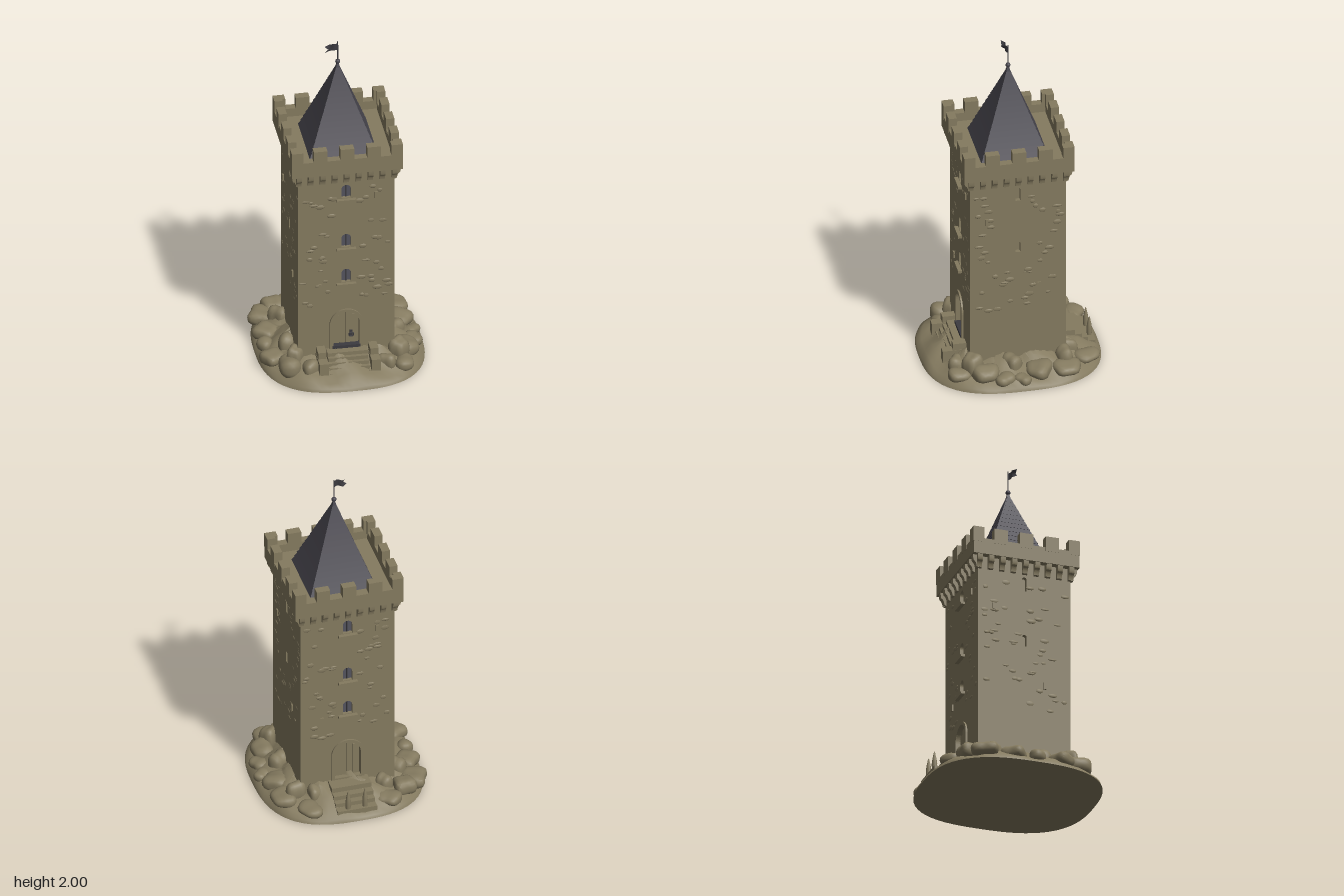
import * as THREE from 'three';
import { toCreasedNormals } from 'three/addons/utils/BufferGeometryUtils.js';

let seed = 7;
const rnd = (a = 0, b = 1) => {
  seed = (seed * 16807) % 2147483647;
  return a + (b - a) * seed / 2147483647;
};
const mat = (name, color, side = THREE.FrontSide) => {
  const m = new THREE.MeshStandardMaterial({ color, side });
  m.name = name;
  return m;
};

export function createModel() {
  seed = 7;
  const stone = mat('stone', 0x857b60);
  const slate = mat('slate', 0x48464e);
  const glass = mat('windowDark', 0x53535e);
  const iron = mat('iron', 0x3c3b40, THREE.DoubleSide);

  const model = new THREE.Group();
  model.name = 'stoneTower';
  const add = (parent, name, geo, material, x = 0, y = 0, z = 0) => {
    const m = new THREE.Mesh(geo, material);
    m.name = name;
    m.position.set(x, y, z);
    parent.add(m);
    return m;
  };
  const box = (parent, name, w, h, d, x, y, z, material = stone) =>
    add(parent, name, new THREE.BoxGeometry(w, h, d), material, x, y, z);
  const rect = (T, x0, y0, x1, y1) => {
    const s = new T();
    s.moveTo(x0, y0); s.lineTo(x1, y0); s.lineTo(x1, y1); s.lineTo(x0, y1); s.closePath();
    return s;
  };
  const arch = (T, x, y, w, h) => {
    const r = w / 2, s = new T();
    s.moveTo(x - r, y); s.lineTo(x + r, y); s.lineTo(x + r, y + h - r);
    s.absarc(x, y + h - r, r, 0, Math.PI, false);
    s.closePath();
    return s;
  };
  const extrude = (shape, depth) =>
    new THREE.ExtrudeGeometry(shape, { depth, bevelEnabled: false, curveSegments: 10 });

  // Rocky mound: a lathe squared off and roughened
  const radius = (a) => Math.pow(
    Math.pow(Math.abs(Math.cos(a)) / 0.475, 2.7) + Math.pow(Math.abs(Math.sin(a)) / 0.51, 2.7), -1 / 2.7);
  const profile = [[0, 0], [1, 0], [0.985, 0.018], [0.93, 0.04], [0.85, 0.06], [0.75, 0.085], [0.65, 0.115], [0.5, 0.14], [0, 0.14]]
    .map(([x, y]) => new THREE.Vector2(x, y));
  const ground = new THREE.LatheGeometry(profile, 72);
  const gp = ground.attributes.position;
  for (let i = 0; i < gp.count; i++) {
    const x = gp.getX(i), y = gp.getY(i), z = gp.getZ(i);
    const a = Math.atan2(z, x), t = Math.hypot(x, z), r = t * radius(a);
    const bump = 1 + 0.16 * Math.sin(a * 9 + t * 8) + 0.12 * Math.sin(a * 16 - t * 21);
    gp.setXYZ(i, Math.cos(a) * r, y * bump, Math.sin(a) * r);
  }
  add(model, 'mound', toCreasedNormals(ground, 0.9), stone);

  // Boulders: x, z, radius, top height
  const rocks = [
    [0.37, -0.1, 0.085, 0.12], [0.41, 0.1, 0.06, 0.09], [0.36, 0.2, 0.08, 0.13], [0.42, 0, 0.05, 0.08],
    [0.37, -0.26, 0.085, 0.11], [0.25, -0.4, 0.08, 0.09], [0.3, 0.27, 0.06, 0.19], [0.31, 0.04, 0.06, 0.16],
    [0.3, -0.26, 0.06, 0.17], [0.32, 0.34, 0.07, 0.1], [-0.39, -0.1, 0.075, 0.11], [-0.42, 0.03, 0.055, 0.1],
    [-0.4, 0.18, 0.07, 0.11], [-0.33, 0.3, 0.08, 0.14], [-0.38, -0.27, 0.085, 0.11], [-0.2, -0.41, 0.075, 0.09],
    [-0.29, 0.27, 0.05, 0.2], [-0.31, 0.1, 0.06, 0.16], [-0.3, -0.2, 0.06, 0.17], [-0.31, -0.34, 0.07, 0.13],
    [0.22, 0.34, 0.055, 0.13], [-0.22, 0.35, 0.055, 0.13], [0.2, -0.31, 0.05, 0.15], [-0.2, -0.31, 0.05, 0.15]];
  for (const [x, z, r, top] of rocks) {
    const geo = new THREE.IcosahedronGeometry(1, 3);
    const p = geo.attributes.position, v = new THREE.Vector3(), k = rnd(0, 6);
    for (let i = 0; i < p.count; i++) {
      v.fromBufferAttribute(p, i);
      const f = 1 + 0.1 * Math.sin(3 * v.x + k) + 0.1 * Math.sin(4 * v.z + 2 * k);
      // Flatten towards a squarish block
      const q = f / Math.pow(v.x ** 4 + v.y ** 4 + v.z ** 4, 0.16);
      p.setXYZ(i, v.x * q, v.y * q, v.z * q);
    }
    const h = (top - 0.02) / 2.1;
    const m = add(model, 'boulder', toCreasedNormals(geo, 0.8), stone, x, 0.02 + h, z);
    m.scale.set(r * 0.85, h * 0.92, r * 0.85);
    m.rotation.y = rnd(0, 3);
  }

  // Tower core behind the pierced walls
  box(model, 'core', 0.5, 1.27, 0.5, 0, 0.685, 0);

  const windowHeights = [0.58, 0.81, 1.135];
  for (let s = 0; s < 4; s++) {
    const side = new THREE.Group();
    side.name = ['frontSide', 'leftSide', 'backSide', 'rightSide'][s];
    side.rotation.y = s * Math.PI / 2;
    model.add(side);
    const main = s % 2 === 0;
    const half = main ? 0.275 : 0.25;

    // Wall with openings
    const shape = rect(THREE.Shape, -half, 0.05, half, 1.34);
    if (main) {
      shape.holes.push(arch(THREE.Path, 0, 0.15, 0.15, 0.235));
      for (const y of windowHeights) shape.holes.push(arch(THREE.Path, 0, y, 0.055, 0.085));
    } else {
      shape.holes.push(arch(THREE.Path, 0, 0.8, 0.028, 0.07), arch(THREE.Path, 0, 1.14, 0.028, 0.085));
    }
    add(side, 'wall', extrude(shape, 0.03), stone, 0, 0, 0.245);

    if (main) {
      // Door with arched surround and planks
      const ring = arch(THREE.Shape, 0, 0.14, 0.19, 0.262);
      ring.holes.push(arch(THREE.Path, 0, 0.15, 0.15, 0.235));
      add(side, 'doorSurround', extrude(ring, 0.015), stone, 0, 0, 0.27);
      for (let i = 0; i < 4; i++) {
        const h = i % 3 ? 0.225 : 0.2;
        box(side, 'doorPlank', 0.034, h, 0.012, -0.054 + i * 0.036, 0.15 + h / 2, 0.252);
      }
      if (s === 0) {
        box(side, 'threshold', 0.16, 0.018, 0.04, 0, 0.16, 0.27, iron);
        box(side, 'doorLock', 0.014, 0.04, 0.008, 0.03, 0.23, 0.262, iron);
        add(side, 'doorRing', new THREE.TorusGeometry(0.013, 0.004, 6, 14), iron, 0.03, 0.225, 0.268);
      }
      // Windows with sills
      for (const y of windowHeights) {
        add(side, 'windowPane', extrude(arch(THREE.Shape, 0, y, 0.055, 0.085), 0.006), glass, 0, 0, 0.25);
        box(side, 'windowBar', 0.006, 0.08, 0.006, 0, y + 0.04, 0.258, iron);
        box(side, 'windowSill', 0.11, 0.016, 0.035, 0, y - 0.012, 0.28);
      }
    }

    // Low lumps of weathered masonry
    for (let i = 0; i < 44; i++) {
      const x = main ? rnd(0.07, 0.25) * (i % 2 ? 1 : -1) : rnd(0.03, 0.25) * (i % 2 ? 1 : -1);
      const y = rnd(0.42, 1.2);
      add(side, 'masonryLump', new THREE.SphereGeometry(1, 10, 6), stone, x, y, 0.274)
        .scale.set(rnd(0.015, 0.03), rnd(0.007, 0.015), rnd(0.003, 0.006));
    }
    // Small projecting stones
    for (const [x, y] of [[0.17, 1.14], [-0.15, 0.56], [0.12, 0.57], [-0.18, 1.02]])
      if (main === (y === 1.14 || y === 0.56)) box(side, 'projectingStone', 0.018, 0.04, 0.014, x, y, 0.277);

    // Corbels under the parapet
    const c = new THREE.Shape();
    c.moveTo(0, 1.33); c.lineTo(0, 1.24); c.lineTo(0.014, 1.245);
    c.quadraticCurveTo(0.018, 1.275, 0.03, 1.28);
    c.quadraticCurveTo(0.037, 1.285, 0.037, 1.33);
    c.closePath();
    const corbel = extrude(c, 0.03);
    for (let i = -4; i <= 4; i++)
      add(side, 'corbel', corbel, stone, i * 0.068 + 0.015, 0, 0.273).rotation.y = -Math.PI / 2;

    // Battlement merlons
    for (const x of [-0.152, 0, 0.152]) box(side, 'merlon', 0.078, 0.09, 0.047, x, 1.435, 0.2925);
    box(side, 'cornerMerlon', 0.065, 0.09, 0.047, 0.2835, 1.435, 0.2925);
    box(side, 'cornerMerlon', 0.065, 0.09, 0.047, -0.2835, 1.435, 0.2925);
  }

  // Parapet ring and deck
  const parapet = rect(THREE.Shape, -0.315, -0.315, 0.315, 0.315);
  parapet.holes.push(rect(THREE.Path, -0.27, -0.27, 0.27, 0.27));
  add(model, 'parapet', extrude(parapet, 0.095), stone, 0, 1.317, 0).rotation.x = -Math.PI / 2;
  model.children.at(-1).position.y = 1.317;
  box(model, 'deck', 0.56, 0.04, 0.56, 0, 1.34, 0);

  // Slate roof in overlapping courses
  const courses = 16, base = 1.36, apex = 1.865, rise = (apex - base) / courses;
  for (let i = 0; i < courses; i++) {
    const bottom = 0.193 * (1 - i / courses), top = Math.max(0.188 * (1 - (i + 1) / courses), 0.004);
    const geo = new THREE.CylinderGeometry(top * Math.SQRT2, bottom * Math.SQRT2, rise, 4).toNonIndexed();
    geo.rotateY(Math.PI / 4);
    geo.computeVertexNormals();
    add(model, 'roofCourse', geo, slate, 0, base + (i + 0.5) * rise, 0);
  }

  // Finial, pole and swallow-tailed flag
  add(model, 'finial', new THREE.SphereGeometry(0.014, 14, 10), slate, 0, 1.87, 0);
  add(model, 'flagPole', new THREE.CylinderGeometry(0.003, 0.004, 0.13, 8), iron, 0, 1.935, 0);
  const flag = new THREE.PlaneGeometry(0.08, 0.042, 10, 4);
  const fp = flag.attributes.position;
  for (let i = 0; i < fp.count; i++) {
    const t = 0.5 - fp.getX(i) / 0.08, y = fp.getY(i);
    const notch = t * t * 0.022 * (1 - Math.abs(y) / 0.021);
    fp.setXYZ(i, -0.08 * t + notch, y + 0.004 * Math.sin(t * 6), 0.02 * t + 0.008 * Math.sin(t * 7));
  }
  flag.computeVertexNormals();
  add(model, 'flag', flag, iron, 0, 1.968, 0);

  // Front stairs between cheek walls
  for (let i = 0; i < 5; i++) {
    const top = 0.15 - i * 0.022, z = 0.33 + i * 0.02;
    box(model, 'frontStep', 0.23, top, z - 0.26, 0, top / 2, (z + 0.26) / 2);
  }
  for (const x of [-0.148, 0.148]) {
    box(model, 'cheekWall', 0.052, 0.13, 0.15, x, 0.065, 0.335);
    box(model, 'cheekBlock', 0.048, 0.17, 0.08, x, 0.085, 0.31);
  }

  // Back stairs with two pointed posts
  [[0.36, 0.14], [0.4, 0.11], [0.435, 0.085], [0.478, 0.06]].forEach(([z, top]) =>
    box(model, 'backStep', 0.23, top, z - 0.26, 0, top / 2, -(z + 0.26) / 2));
  const post = [[0.014, 0], [0.016, 0.05], [0.012, 0.08], [0.005, 0.115], [0, 0.13]]
    .map(([x, y]) => new THREE.Vector2(x, y));
  for (const x of [-0.05, 0.048])
    add(model, 'pointedPost', new THREE.LatheGeometry(post, 12), stone, x, 0.05, -0.455);

  return model;
}
